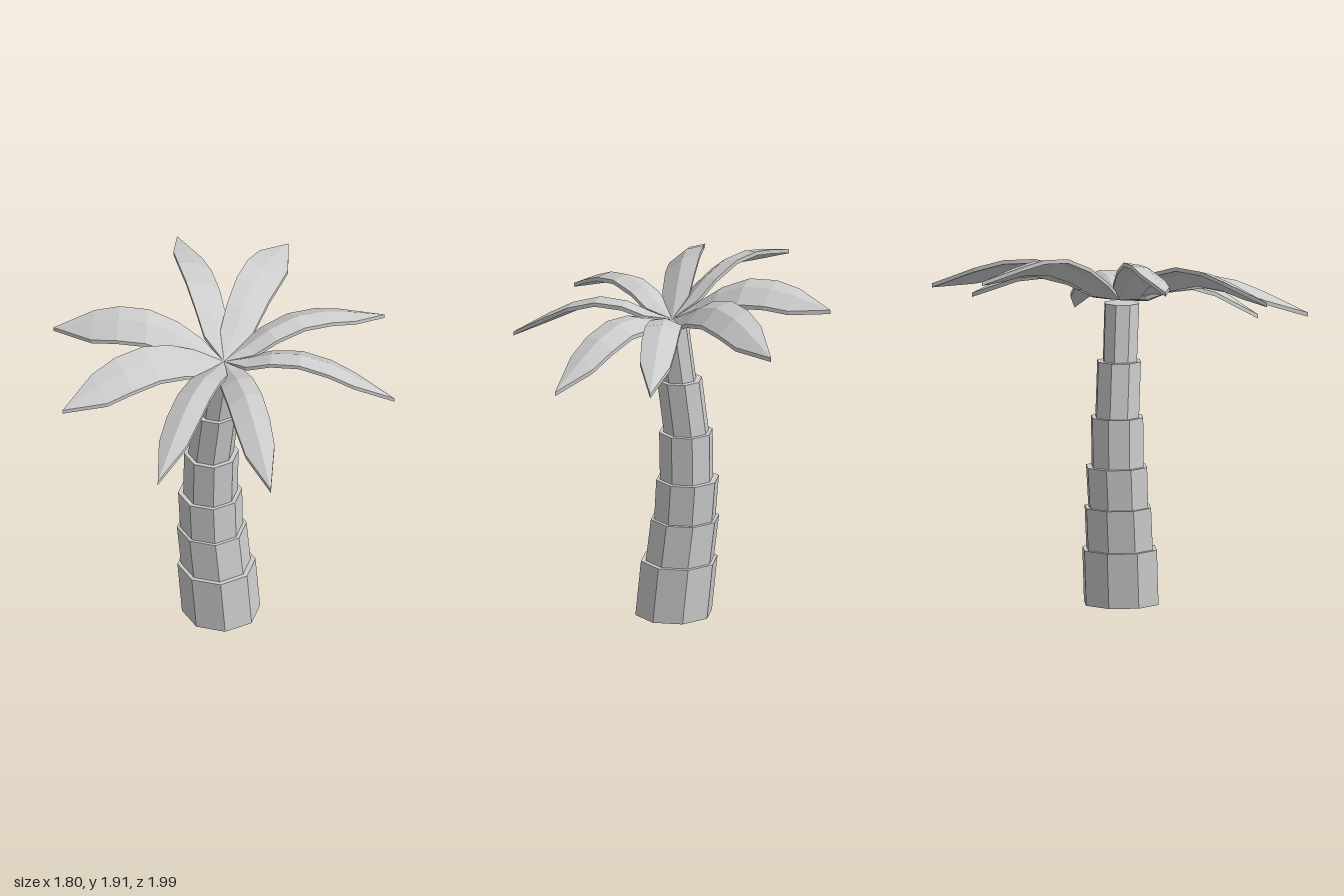
import * as THREE from 'three';

const material = new THREE.MeshStandardMaterial({ color: 0xcccccc, flatShading: true });

// One eight-sided trunk section; each end is [y, centreX, centreZ, halfWidth]
function trunkSection([y0, x0, z0, w0], [y1, x1, z1, w1]) {
  const flat = Math.cos(Math.PI / 8);
  const h = y1 - y0;
  const g = new THREE.CylinderGeometry(w1 / flat, w0 / flat, h, 8);
  g.rotateY(THREE.MathUtils.degToRad(20));
  const p = g.attributes.position;
  for (let i = 0; i < p.count; i++) {
    const t = p.getY(i) / h + 0.5;
    p.setXYZ(i,
      p.getX(i) + THREE.MathUtils.lerp(x0, x1, t),
      THREE.MathUtils.lerp(y0, y1, t),
      p.getZ(i) + THREE.MathUtils.lerp(z0, z1, t));
  }
  g.computeVertexNormals();
  return g;
}

// Frond stations: [fraction of length, width, midrib height]
const STATIONS = [
  [0, 0, 0.02], [0.14, 0.145, 0.075], [0.28, 0.17, 0.14], [0.45, 0.185, 0.175],
  [0.62, 0.185, 0.155], [0.77, 0.16, 0.105], [1, 0, 0.01],
];
const CROWN_Y = 1.63, THICKNESS = 0.022, ARCH = 0.15, BANK = 0.35;
const TILT_X = 0.211, TILT_Z = 0.104;

// Arched leaf blade, banked sideways, following the tilt of the crown
function frond(angle, length, bank) {
  const c = Math.cos(angle), s = Math.sin(angle);
  const pos = [], index = [];
  for (const [f, w, h] of STATIONS) {
    // left, middle, right on top, then back underneath
    for (const [side, under] of [[-1, 0], [0, 0], [1, 0], [1, 1], [0, 1], [-1, 1]]) {
      const r = f * length, v = side * w / 2;
      const x = c * r - s * v, z = s * r + c * v;
      const y = CROWN_Y + h - Math.abs(side) * w * ARCH - bank * v
        - under * THICKNESS - TILT_X * x - TILT_Z * z;
      pos.push(x, y, z);
    }
  }
  for (let i = 0; i < STATIONS.length - 1; i++) {
    for (let j = 0; j < 6; j++) {
      const k = (j + 1) % 6;
      const a = i * 6 + j, b = i * 6 + k, d = a + 6, e = b + 6;
      index.push(a, b, e, a, e, d);
    }
  }
  const g = new THREE.BufferGeometry();
  g.setAttribute('position', new THREE.Float32BufferAttribute(pos, 3));
  g.setIndex(index);
  g.computeVertexNormals();
  return g;
}

export function createModel() {
  const model = new THREE.Group();
  model.name = 'palmTree';

  // Trunk: stacked flaring sections along a gentle S-bend
  const trunk = new THREE.Group();
  trunk.name = 'trunk';
  const sections = [
    [[0, -0.015, 0.005, 0.193], [0.3, -0.043, -0.007, 0.193]],
    [[0.3, -0.047, -0.008, 0.172], [0.53, -0.072, -0.02, 0.172]],
    [[0.53, -0.073, -0.018, 0.155], [0.75, -0.083, -0.028, 0.158]],
    [[0.75, -0.08, -0.023, 0.134], [1.015, -0.075, -0.024, 0.135]],
    [[1.015, -0.077, -0.024, 0.113], [1.31, -0.043, -0.01, 0.113]],
    [[1.31, -0.04, -0.005, 0.088], [1.615, 0, 0.01, 0.09]],
  ];
  sections.forEach(([bottom, top], i) => {
    const m = new THREE.Mesh(trunkSection(bottom, top), material);
    m.name = `trunkSection${i + 1}`;
    trunk.add(m);
  });
  model.add(trunk);

  // Crown: eight fronds mirrored about the direction the crown leans
  const crown = new THREE.Group();
  crown.name = 'crown';
  const lean = 25.75;
  const offsets = [[34.5, 0.91], [71, 1], [109.5, 1], [145.5, 0.91]];
  for (const side of [1, -1]) {
    offsets.forEach(([offset, length], i) => {
      const angle = THREE.MathUtils.degToRad(lean + side * offset);
      const bank = side * (offset < 90 ? BANK : -BANK);
      const m = new THREE.Mesh(frond(angle, length, bank), material);
      m.name = `frond${side > 0 ? 'A' : 'B'}${i + 1}`;
      crown.add(m);
    });
  }
  model.add(crown);
  return model;
}
